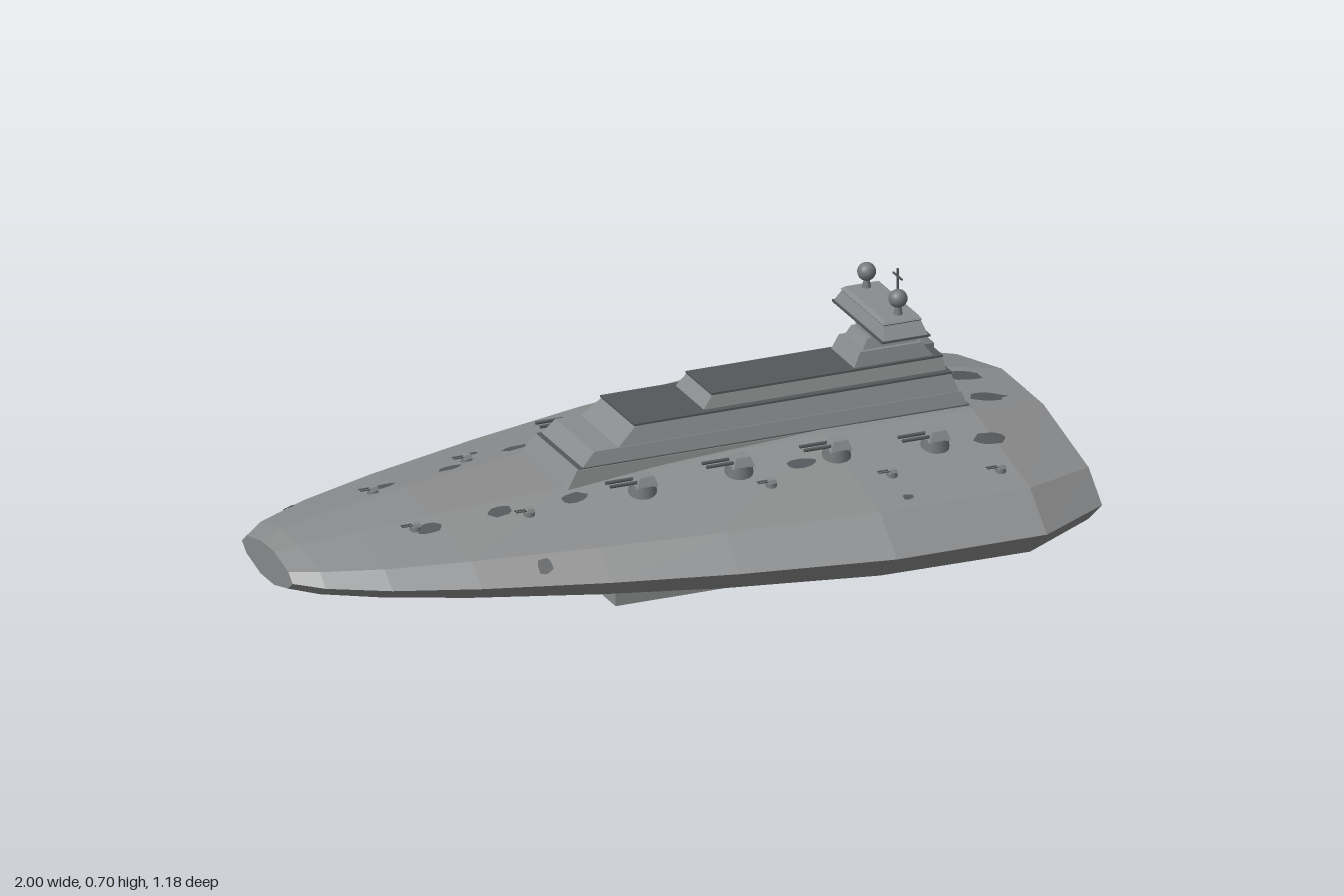
import * as THREE from 'three';
import { mergeGeometries } from 'three/addons/utils/BufferGeometryUtils.js';

const mat = (name, color, extra = {}) => {
  const m = new THREE.MeshStandardMaterial({ color, ...extra });
  m.name = name;
  return m;
};

// Hull stations: x, half width, deck height, keel height
const STATIONS = [
  [-1, 0.15, 0.257, 0.172], [-0.94, 0.21, 0.272, 0.161], [-0.8, 0.288, 0.288, 0.146], [-0.6, 0.362, 0.308, 0.125],
  [-0.3, 0.45, 0.334, 0.099], [0, 0.522, 0.357, 0.077], [0.38, 0.588, 0.376, 0.058],
  [0.77, 0.588, 0.374, 0.053], [0.965, 0.47, 0.345, 0.085],
];
const EDGE = 0.215;

// Half section from deck edge to keel edge as [z, y]
const halfSection = ([, w, top, keel]) => [
  [w * 0.26, top], [w * 0.83, EDGE + (top - EDGE) * 0.52], [w, EDGE],
  [w * 0.83, EDGE - (EDGE - keel) * 0.5], [w * 0.27, keel],
];
const ring = (s) => {
  const h = halfSection(s);
  return [...h, ...h.slice().reverse().map(([z, y]) => [-z, y])];
};

// Height of the upper hull at a given x, z
function deckHeight(x, z) {
  let i = 0;
  while (i < STATIONS.length - 2 && x > STATIONS[i + 1][0]) i++;
  const a = STATIONS[i], b = STATIONS[i + 1], t = (x - a[0]) / (b[0] - a[0]);
  const [p, q, r] = halfSection(a.map((v, k) => v + (b[k] - v) * t));
  const az = Math.abs(z);
  if (az <= p[0]) return p[1];
  const [m, n] = az < q[0] ? [p, q] : [q, r];
  return m[1] + (n[1] - m[1]) * Math.min(1, (az - m[0]) / (n[0] - m[0]));
}

function hullGeometry() {
  const pos = [], idx = [], n = 10;
  STATIONS.forEach((s) => ring(s).forEach(([z, y]) => pos.push(s[0], y, z)));
  for (let i = 0; i < STATIONS.length - 1; i++) {
    for (let j = 0; j < n; j++) {
      const a = i * n + j, b = i * n + (j + 1) % n;
      idx.push(a, b, a + n, b, b + n, a + n);
    }
  }
  for (let j = 1; j < n - 1; j++) idx.push(0, j + 1, j);
  const sideCount = idx.length, last = (STATIONS.length - 1) * n;
  for (let j = 1; j < n - 1; j++) idx.push(last, last + j, last + j + 1);
  const g = new THREE.BufferGeometry();
  g.setAttribute('position', new THREE.Float32BufferAttribute(pos, 3));
  g.setIndex(idx);
  g.addGroup(0, sideCount, 0);
  g.addGroup(sideCount, idx.length - sideCount, 1);
  g.computeVertexNormals();
  return g;
}

// Box tapering from a lower [x0, x1, halfZ] rectangle to an upper one
function taperedBox(y0, low, y1, high) {
  const g = new THREE.BoxGeometry(1, 1, 1), p = g.attributes.position;
  for (let i = 0; i < p.count; i++) {
    const up = p.getY(i) > 0, r = up ? high : low;
    p.setXYZ(i, p.getX(i) < 0 ? r[0] : r[1], up ? y1 : y0, Math.sign(p.getZ(i)) * r[2]);
  }
  g.computeVertexNormals();
  return g;
}

export function createModel() {
  const ship = new THREE.Group();
  ship.name = 'starship';
  const hullMat = mat('hull grey', 0x8a8b8c, { flatShading: true });
  const sternMat = mat('stern light grey', 0xbcbcba, { flatShading: true });
  const darkMat = mat('dark panel', 0x55575a, { side: THREE.DoubleSide });
  const engineMat = mat('engine metal', 0x43484b, { side: THREE.DoubleSide });
  const glowMat = mat('engine glow', 0x9fcfd3);
  const gunMat = mat('gun grey', 0x747678);
  const bayMat = mat('bay interior', 0x2b2d2f);

  const add = (name, geo, m, x = 0, y = 0, z = 0, parent = ship) => {
    const mesh = new THREE.Mesh(geo, m);
    mesh.name = name;
    mesh.position.set(x, y, z);
    parent.add(mesh);
    return mesh;
  };
  const box = (w, h, d) => new THREE.BoxGeometry(w, h, d);

  add('hull', hullGeometry(), [hullMat, sternMat]);

  // Raised stern plate
  const outline = ring(STATIONS[8]).map(([z, y]) => new THREE.Vector2(-z * 0.9, EDGE + (y - EDGE) * 0.82));
  const plate = add('sternPlate', new THREE.ExtrudeGeometry(new THREE.Shape(outline), { depth: 0.004, bevelEnabled: false }), sternMat, 0.964);
  plate.rotation.y = Math.PI / 2;

  // Engines: z, y, radius, length
  const engines = [[0, EDGE, 0.088, 0.034]];
  for (const s of [1, -1]) engines.push([s * 0.163, EDGE, 0.068, 0.03], [s * 0.303, 0.246, 0.031, 0.014], [s * 0.303, 0.181, 0.031, 0.014]);
  for (const [z, y, r, len] of engines) {
    const g = new THREE.Group();
    g.name = 'engine';
    g.position.set(0.966, y, z);
    g.rotation.z = -Math.PI / 2;
    ship.add(g);
    const profile = [[0.74, 0], [0.8, 0.4], [0.96, 0.6], [1, 1], [0.86, 1], [0.74, 0.6], [0.52, 0.3]];
    add('nozzle', new THREE.LatheGeometry(profile.map(([a, b]) => new THREE.Vector2(a * r, b * len)), 32), engineMat, 0, 0, 0, g);
    const lip = add('nozzleRing', new THREE.TorusGeometry(r * 0.76, r * 0.035, 6, 32), gunMat, 0, len * 0.75, 0, g);
    lip.rotation.x = Math.PI / 2;
    add('glow', new THREE.CylinderGeometry(r * 0.53, r * 0.53, 0.005, 32), glowMat, 0, len * 0.35, 0, g);
  }

  // Small vents dotted around the engines
  const dots = [];
  for (let z = 0.06; z < 0.375; z += 0.0115) {
    for (let y = 0.14; y < 0.3; y += 0.0115) {
      const small = z > 0.255;
      if (small && (z < 0.345 || Math.abs(y - EDGE) > 0.035)) continue;
      if (engines.some((e) => Math.hypot(z - e[0], y - e[1]) < e[2] + 0.006)) continue;
      for (const s of [1, -1]) dots.push(box(0.003, 0.0045, 0.0045).translate(0.9685, y, s * z));
    }
  }
  add('sternVents', mergeGeometries(dots), darkMat);

  // Stepped superstructure
  const tiers = [
    ['lowerDeck', 0.32, [-0.285, 0.785, 0.137], 0.375, [-0.25, 0.775, 0.128]],
    ['lowerDeckUpper', 0.375, [-0.235, 0.768, 0.122], 0.41, [-0.2, 0.755, 0.114]],
    ['middleDeck', 0.41, [-0.135, 0.75, 0.112], 0.453, [-0.085, 0.735, 0.099]],
    ['upperDeck', 0.453, [0.095, 0.73, 0.085], 0.49, [0.125, 0.722, 0.075]],
    ['towerBase', 0.49, [0.495, 0.705, 0.069], 0.53, [0.515, 0.675, 0.063]],
    ['towerStep', 0.53, [0.525, 0.67, 0.054], 0.555, [0.54, 0.66, 0.047]],
    ['towerNeck', 0.555, [0.55, 0.655, 0.046], 0.59, [0.555, 0.64, 0.04]],
    ['bridge', 0.583, [0.538, 0.655, 0.146], 0.615, [0.55, 0.645, 0.124]],
    ['bridgeRoof', 0.617, [0.547, 0.648, 0.127], 0.626, [0.555, 0.642, 0.117]],
  ];
  tiers.forEach(([name, y0, low, y1, high]) => add(name, taperedBox(y0, low, y1, high), hullMat));
  // Dark shadow gaps and window bands between the tiers
  const bands = [
    [0.372, -0.244, 0.772, 0.125], [0.453, -0.09, 0.737, 0.101], [0.489, 0.122, 0.724, 0.077],
    [0.579, 0.534, 0.66, 0.149], [0.614, 0.549, 0.646, 0.125],
  ];
  bands.forEach(([y, x0, x1, h]) => add('darkBand', taperedBox(y, [x0, x1, h], y + 0.005, [x0, x1, h]), darkMat));
  add('aftDeckBlock', box(0.05, 0.03, 0.09), gunMat, 0.69, 0.5, 0);

  // Sensor domes and mast
  for (const s of [1, -1]) {
    add('domeStand', new THREE.CylinderGeometry(0.006, 0.012, 0.03, 10), gunMat, 0.6, 0.637, s * 0.093);
    add('sensorDome', new THREE.IcosahedronGeometry(0.023, 2), gunMat, 0.6, 0.666, s * 0.093);
  }
  add('mast', box(0.004, 0.08, 0.004), darkMat, 0.64, 0.662, 0);
  add('mastCrossbar', box(0.004, 0.004, 0.052), darkMat, 0.64, 0.682, 0);

  // Heavy twin turrets and light guns on both sides
  const turret = (name, x, z, k) => {
    const g = new THREE.Group();
    g.name = name;
    g.position.set(x, deckHeight(x, z), z);
    g.scale.setScalar(k);
    ship.add(g);
    add('barbette', new THREE.CylinderGeometry(0.032, 0.036, 0.03, 16), gunMat, 0, 0.006, 0, g);
    add('gunHouse', taperedBox(0.018, [-0.026, 0.03, 0.028], 0.042, [-0.015, 0.022, 0.019]), hullMat, 0, 0, 0, g);
    for (const s of [1, -1]) {
      const barrel = add('barrel', new THREE.CylinderGeometry(0.0045, 0.0045, 0.07, 8), darkMat, -0.055, 0.03, s * 0.013, g);
      barrel.rotation.z = Math.PI / 2;
    }
  };
  const heavy = [[-0.115, 0.207], [0.13, 0.22], [0.375, 0.24], [0.62, 0.265]];
  const light = [[-0.67, 0.125], [-0.4, 0.185], [0.18, 0.298], [0.47, 0.352], [0.73, 0.403]];
  for (const s of [1, -1]) {
    heavy.forEach(([x, z]) => turret('heavyTurret', x, s * z, 1));
    light.forEach(([x, z]) => turret('lightTurret', x, s * z, 0.4));
  }

  // Irregular dark patches laid over the plating: x, z, radius x, radius z
  let seed = 7;
  const rand = () => (seed = (seed * 16807) % 2147483647) / 2147483647;
  const patch = (x, z, rx, rz, height) => {
    const pos = [x, height(x, z) + 0.003, z], idx = [], n = 12;
    for (let i = 0; i < n; i++) {
      const a = (i / n) * Math.PI * 2, k = 0.8 + rand() * 0.35;
      const px = x + Math.cos(a) * rx * k, pz = z + Math.sin(a) * rz * k;
      pos.push(px, height(px, pz) + 0.003, pz);
      idx.push(0, 1 + (i + 1) % n, 1 + i);
    }
    const g = new THREE.BufferGeometry();
    g.setAttribute('position', new THREE.Float32BufferAttribute(pos, 3));
    g.setIndex(idx);
    g.computeVertexNormals();
    add('darkPatch', g, darkMat);
  };
  [[-0.9, -0.22, 0.02, 0.012], [-0.85, -0.215, 0.014, 0.012], [-0.64, -0.15, 0.034, 0.02], [-0.64, 0.14, 0.034, 0.02],
    [-0.46, -0.15, 0.03, 0.02], [-0.46, 0.15, 0.03, 0.02], [-0.37, -0.23, 0.016, 0.015], [-0.28, -0.175, 0.034, 0.02],
    [-0.28, 0.17, 0.034, 0.02], [-0.07, -0.44, 0.01, 0.009], [0.21, -0.54, 0.016, 0.012], [0.28, -0.245, 0.036, 0.018],
    [0.28, 0.245, 0.036, 0.018], [0.47, -0.57, 0.014, 0.008], [0.76, -0.285, 0.042, 0.03], [0.76, 0.275, 0.042, 0.026],
    [0.84, -0.07, 0.05, 0.03], [0.84, 0.07, 0.05, 0.03], [-0.44, 0.37, 0.018, 0.018], [0.47, 0.45, 0.014, 0.012],
  ].forEach((p) => patch(...p, deckHeight));
  for (const x of [0.165, 0.28, 0.395]) for (const s of [1, -1]) patch(x, s * 0.045, 0.036, 0.022, () => 0.49);

  // Ventral hangar: collar, open frame, dark ceiling and ribs
  add('hangarCollar', box(0.44, 0.06, 0.18), hullMat, 0.095, 0.065, 0);
  for (const s of [1, -1]) {
    add('hangarSide', box(0.47, 0.036, 0.02), hullMat, 0.095, 0.018, s * 0.095);
    add('hangarEnd', box(0.02, 0.036, 0.17), hullMat, 0.095 + s * 0.225, 0.018, 0);
    add('hangarSkirt', box(0.46, 0.04, 0.008), hullMat, 0.095, 0.055, s * 0.095);
  }
  add('hangarCeiling', box(0.43, 0.006, 0.17), bayMat, 0.095, 0.033, 0);
  for (let i = 0; i < 8; i++) add('hangarRib', box(0.008, 0.014, 0.17), darkMat, -0.08 + i * 0.05, 0.024, 0);
  add('hangarFin', box(0.025, 0.025, 0.02), gunMat, 0.34, 0.042, 0);

  return ship;
}
